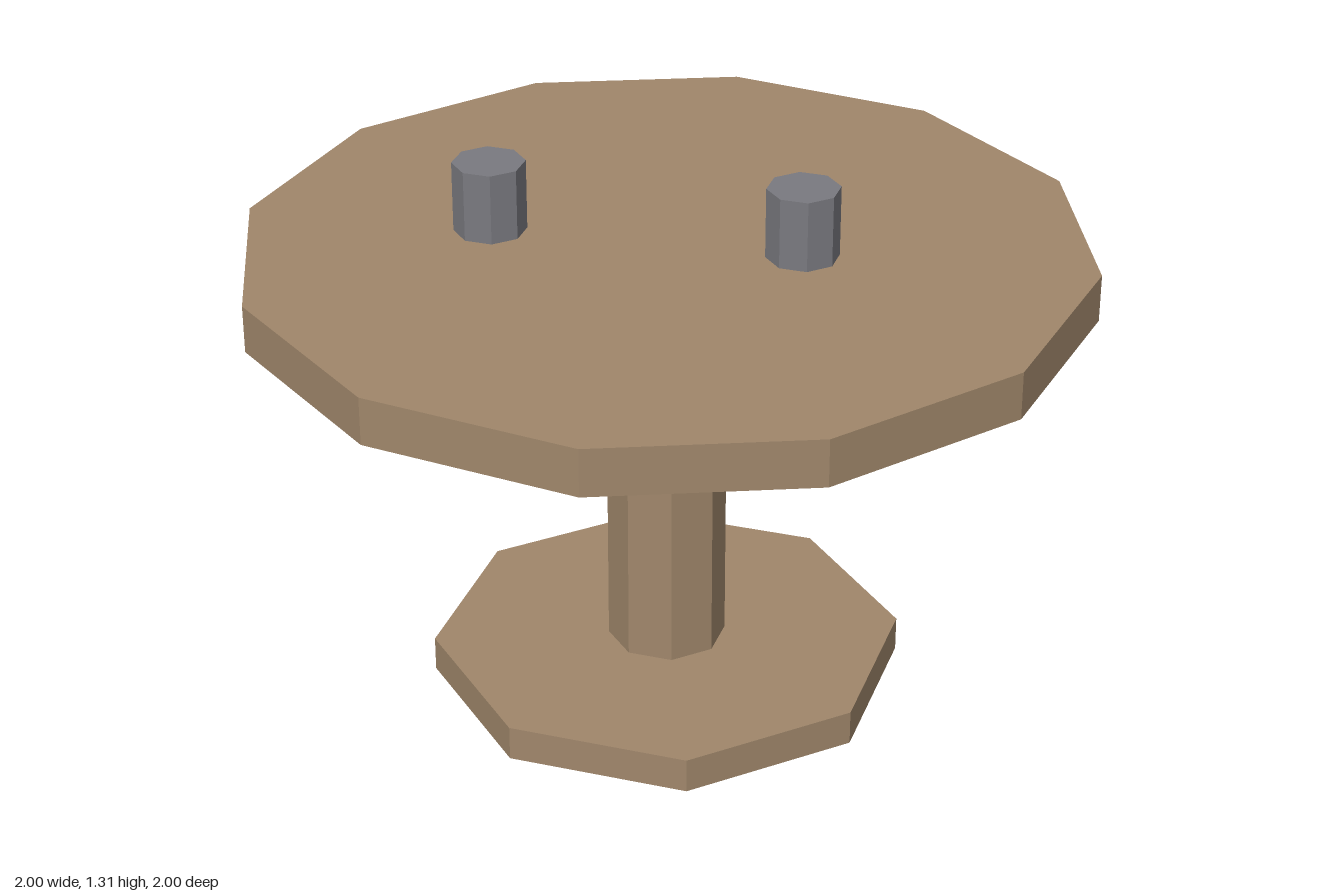
import * as THREE from 'three';

export function createModel() {
  const group = new THREE.Group();
  group.name = 'pedestalTable';

  const wood = new THREE.MeshStandardMaterial({ color: 0xa0876b, flatShading: true });
  wood.name = 'wood';
  const pewter = new THREE.MeshStandardMaterial({ color: 0x7a7a80, flatShading: true });
  pewter.name = 'pewter';

  // Faceted upright prism standing on height y
  function prism(name, radius, y, height, sides, material, x = 0, z = 0) {
    const mesh = new THREE.Mesh(new THREE.CylinderGeometry(radius, radius, height, sides), material);
    mesh.name = name;
    mesh.position.set(x, y + height / 2, z);
    group.add(mesh);
  }

  // Table: foot, column and round top
  prism('base', 0.571, 0, 0.086, 8, wood);
  prism('column', 0.143, 0.086, 0.943, 8, wood);
  prism('tableTop', 1, 1.029, 0.114, 12, wood);

  // Cups on the table
  prism('rearCup', 0.086, 1.143, 0.171, 8, pewter, 0.286, -0.143);
  prism('frontCup', 0.086, 1.143, 0.171, 8, pewter, -0.357, 0.214);

  return group;
}
